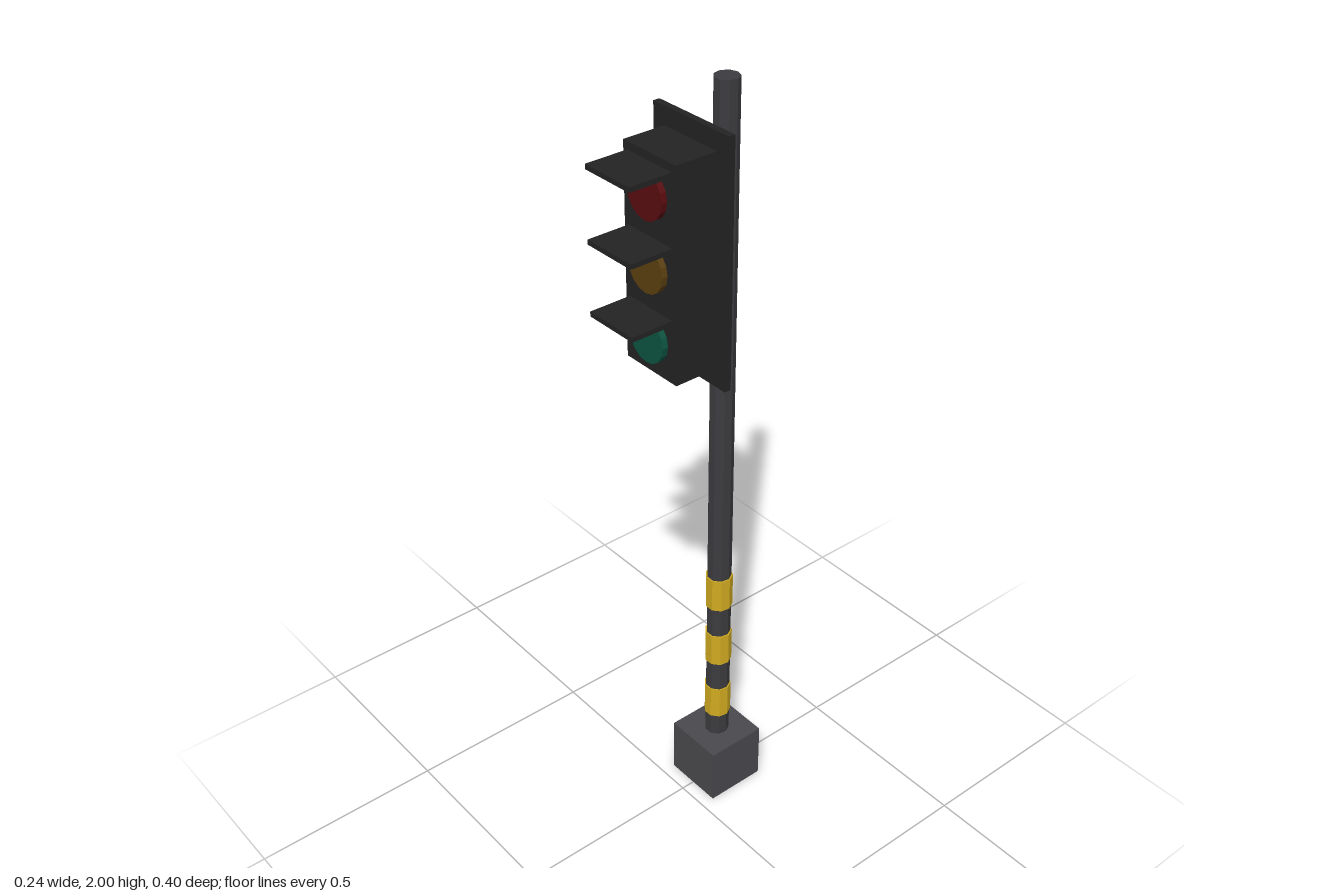
import * as THREE from 'three';

const mat = (name, color) => {
  const m = new THREE.MeshStandardMaterial({ color });
  m.name = name;
  m.flatShading = true;
  return m;
};

export function createModel() {
  const group = new THREE.Group();
  group.name = 'trafficLight';

  const concrete = mat('concreteGrey', 0x4a494d);
  const steel = mat('steelGrey', 0x3c3c40);
  const black = mat('housingBlack', 0x232323);
  const yellow = mat('stripeYellow', 0xd0aa20);
  const poleZ = -0.119;

  const add = (name, geometry, material, x, y, z) => {
    const mesh = new THREE.Mesh(geometry, material);
    mesh.name = name;
    mesh.position.set(x, y, z);
    group.add(mesh);
    return mesh;
  };
  // Box given by half width, y range and z range
  const box = (name, material, hw, y0, y1, z0, z1) =>
    add(name, new THREE.BoxGeometry(hw * 2, y1 - y0, z1 - z0), material, 0, (y0 + y1) / 2, (z0 + z1) / 2);

  // Footing and slightly tapered nine-sided pole
  box('base', concrete, 0.082, 0, 0.16, -0.2, -0.037);
  add('pole', new THREE.CylinderGeometry(0.03, 0.032, 1.85, 9), steel, 0, 1.075, poleZ).rotation.y = Math.PI;

  // Warning bands
  for (const y of [0.273, 0.455, 0.636]) {
    add('warningBand', new THREE.CylinderGeometry(0.035, 0.035, 0.094, 9), yellow, 0, y, poleZ).rotation.y = Math.PI;
  }

  // Signal head and its bracket
  box('bracket', concrete, 0.028, 1.6, 1.66, poleZ, -0.037);
  box('backPlate', black, 0.122, 1.323, 1.932, -0.037, -0.02);
  box('housing', black, 0.086, 1.366, 1.888, -0.02, 0.09);

  // Lamps, each under a flat visor
  const lamps = [
    ['redLens', mat('lensRed', 0x5a0c10), 1.797],
    ['amberLens', mat('lensAmber', 0x5c4010), 1.625],
    ['greenLens', mat('lensGreen', 0x0c5440), 1.452],
  ];
  for (const [name, material, y] of lamps) {
    const lens = new THREE.CylinderGeometry(0.058, 0.058, 0.016, 16);
    lens.rotateX(Math.PI / 2);
    add(name, lens, material, 0, y, 0.097);
    box('visor', black, 0.073, y + 0.06, y + 0.072, 0.085, 0.2);
  }
  return group;
}
